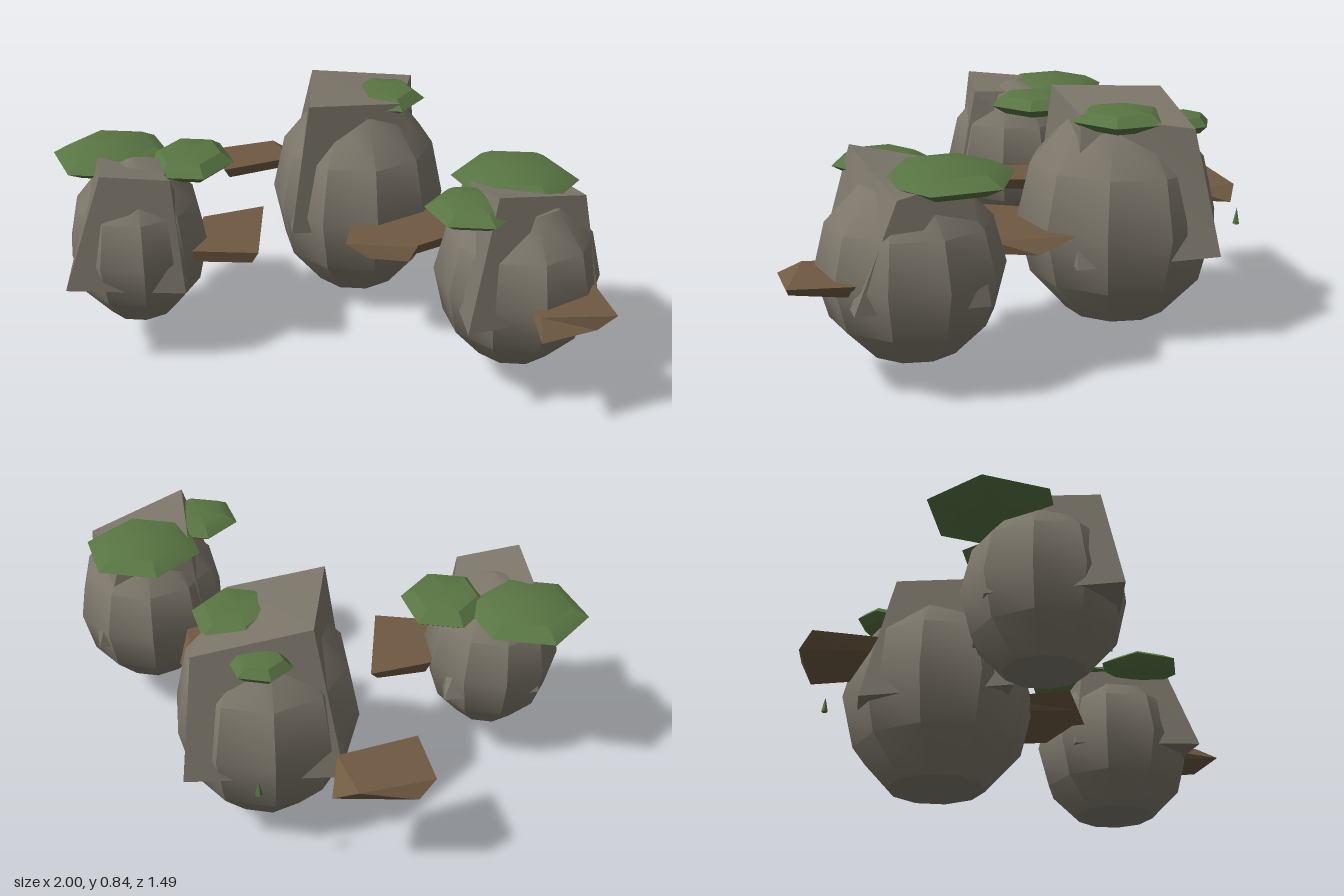
import * as THREE from 'three';
import { toCreasedNormals } from 'three/addons/utils/BufferGeometryUtils.js';

const material = (name, color) => {
  const m = new THREE.MeshStandardMaterial({ color });
  m.name = name;
  return m;
};

const CREASE = Math.PI / 6;

// Squashed low-poly ball
function ellipsoid(name, mat, center, radii, sides, rows) {
  const geo = new THREE.SphereGeometry(1, sides, rows);
  geo.scale(...radii);
  const mesh = new THREE.Mesh(toCreasedNormals(geo, CREASE), mat);
  mesh.position.set(...center);
  mesh.name = name;
  return mesh;
}

// Irregular six-sided block: four top corners and the four below them,
// running back left, front left, front right, back right
function block(name, mat, top, bottom) {
  const p = [];
  const quad = (a, b, c, d) => p.push(...a, ...b, ...c, ...a, ...c, ...d);
  quad(...top);
  quad(bottom[3], bottom[2], bottom[1], bottom[0]);
  for (let i = 0; i < 4; i++) {
    const j = (i + 1) % 4;
    quad(top[i], bottom[i], bottom[j], top[j]);
  }
  const geo = new THREE.BufferGeometry();
  geo.setAttribute('position', new THREE.Float32BufferAttribute(p, 3));
  const mesh = new THREE.Mesh(toCreasedNormals(geo, CREASE), mat);
  mesh.name = name;
  return mesh;
}

export function createModel() {
  const stone = material('stone', 0x7c766a);
  const moss = material('moss', 0x597543);
  const wood = material('wood', 0x6f5a42);
  const model = new THREE.Group();
  model.name = 'mossyRocks';

  // Each rock: a boulder, a tapered slab through it, and moss pads on top
  const rocks = [
    {
      name: 'middleRock', center: [0.09, 0.41, -0.305], radii: [0.33, 0.41, 0.368],
      top: [[-0.10, 0.843, -0.44], [-0.07, 0.84, -0.045], [0.25, 0.81, -0.19], [0.28, 0.785, -0.58]],
      bottom: [[-0.225, 0.31, -0.53], [-0.13, 0.36, 0.02], [0.40, 0.30, -0.20], [0.30, 0.34, -0.685]],
      pads: [[[0.185, 0.788, -0.32], [0.155, 0.045, 0.178]], [[0.06, 0.75, -0.53], [0.11, 0.04, 0.1]]],
    },
    {
      name: 'rightRock', center: [-0.665, 0.41, 0.2], radii: [0.25, 0.31, 0.273],
      top: [[-0.80, 0.71, 0.18], [-0.735, 0.735, 0.40], [-0.51, 0.70, 0.33], [-0.63, 0.68, 0.12]],
      bottom: [[-0.86, 0.33, 0.04], [-0.865, 0.33, 0.475], [-0.46, 0.30, 0.40], [-0.52, 0.32, -0.06]],
      pads: [[[-0.78, 0.67, 0.055], [0.22, 0.05, 0.228]], [[-0.49, 0.668, 0.075], [0.16, 0.048, 0.19]]],
    },
    {
      name: 'leftRock', center: [0.685, 0.4, 0.31], radii: [0.285, 0.325, 0.315],
      top: [[0.49, 0.70, 0.21], [0.60, 0.775, 0.525], [0.90, 0.69, 0.29], [0.72, 0.72, 0.10]],
      bottom: [[0.43, 0.35, 0.18], [0.52, 0.35, 0.67], [0.965, 0.33, 0.42], [0.82, 0.33, 0.02]],
      pads: [[[0.665, 0.70, 0.19], [0.22, 0.05, 0.235]], [[0.515, 0.697, 0.445], [0.155, 0.04, 0.168]]],
    },
  ];
  for (const r of rocks) {
    const group = new THREE.Group();
    group.name = r.name;
    group.add(ellipsoid('boulder', stone, r.center, r.radii, 10, 6));
    group.add(block('slab', stone, r.top, r.bottom));
    for (const [c, s] of r.pads) group.add(ellipsoid('mossPad', moss, c, s, 6, 4));
    model.add(group);
  }

  // Flat wooden boards between the rocks, as x, z corners of top and underside
  const boards = [
    [[[-0.54, -0.61], [-0.455, -0.40], [-0.20, -0.55], [-0.30, -0.725]],
      [[-0.49, -0.67], [-0.44, -0.43], [-0.21, -0.57], [-0.21, -0.715]]],
    [[[-0.46, 0.03], [-0.46, 0.31], [-0.215, 0.30], [-0.25, -0.08]],
      [[-0.44, 0.03], [-0.44, 0.30], [-0.24, 0.29], [-0.27, -0.04]]],
    [[[0.10, -0.12], [0.085, 0.20], [0.34, 0.205], [0.37, -0.12]],
      [[0.12, -0.12], [0.17, 0.22], [0.31, 0.23], [0.36, -0.12]]],
    [[[0.15, -0.10], [0.33, 0.20], [0.48, 0.08], [0.38, -0.20]],
      [[0.18, -0.10], [0.32, 0.18], [0.475, 0.06], [0.47, -0.08]]],
    [[[0.70, 0.45], [0.75, 0.655], [0.995, 0.62], [0.94, 0.42]],
      [[0.72, 0.45], [0.75, 0.74], [0.93, 0.64], [0.92, 0.44]]],
  ];
  const atHeight = (y) => ([x, z]) => [x, y, z];
  for (const [top, bottom] of boards) {
    model.add(block('board', wood, top.map(atHeight(0.42)), bottom.map(atHeight(0.375))));
  }

  // Tiny sprouts
  for (const [x, y, z, h] of [[0.03, 0.402, -0.735, 0.06], [0.485, 0.415, 0.45, 0.12]]) {
    const sprout = new THREE.Mesh(toCreasedNormals(new THREE.ConeGeometry(0.013, h, 5), CREASE), moss);
    sprout.position.set(x, y, z);
    sprout.name = 'sprout';
    model.add(sprout);
  }
  return model;
}
